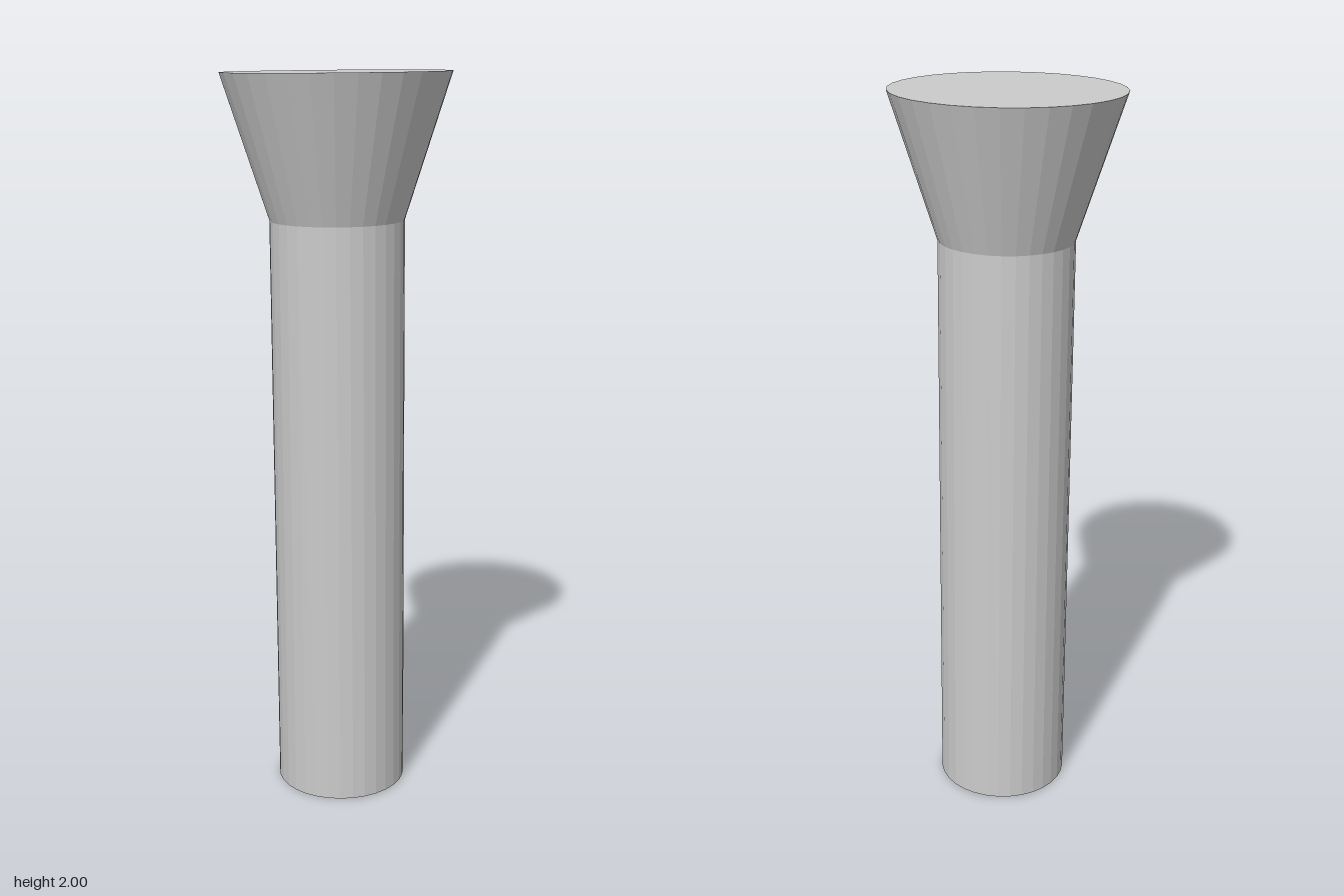
import * as THREE from 'three';

const SIDES = 32;
const SHAFT_RADIUS = 0.181;
const HEAD_RADIUS = 0.306;
const SHOULDER = 1.61;
const LENGTH = 1.9945;

export function createModel() {
  const material = new THREE.MeshStandardMaterial({ color: 0xcccccc, flatShading: true });

  // Turns a [radius, height] profile into a faceted round part
  function turned(name, profile) {
    const points = profile.map(([r, y]) => new THREE.Vector2(r, y));
    const mesh = new THREE.Mesh(new THREE.LatheGeometry(points, SIDES), material);
    mesh.name = name;
    mesh.rotation.y = 0.03;
    return mesh;
  }

  // Straight shaft with a flat bottom, and flared head with a flat top
  const column = new THREE.Group();
  column.name = 'column';
  column.add(
    turned('shaft', [[0, 0], [SHAFT_RADIUS, 0], [SHAFT_RADIUS, SHOULDER]]),
    turned('head', [[SHAFT_RADIUS, SHOULDER], [HEAD_RADIUS, LENGTH], [0, LENGTH]]),
  );

  // The whole piece leans very slightly, with the head centred
  const base = new THREE.Vector3(0.0125, 0.002, -0.019);
  const lean = new THREE.Vector3(0, 1.9965, 0).sub(base).normalize();
  column.position.copy(base);
  column.quaternion.setFromUnitVectors(new THREE.Vector3(0, 1, 0), lean);

  const model = new THREE.Group();
  model.name = 'flaredColumn';
  model.add(column);
  return model;
}
